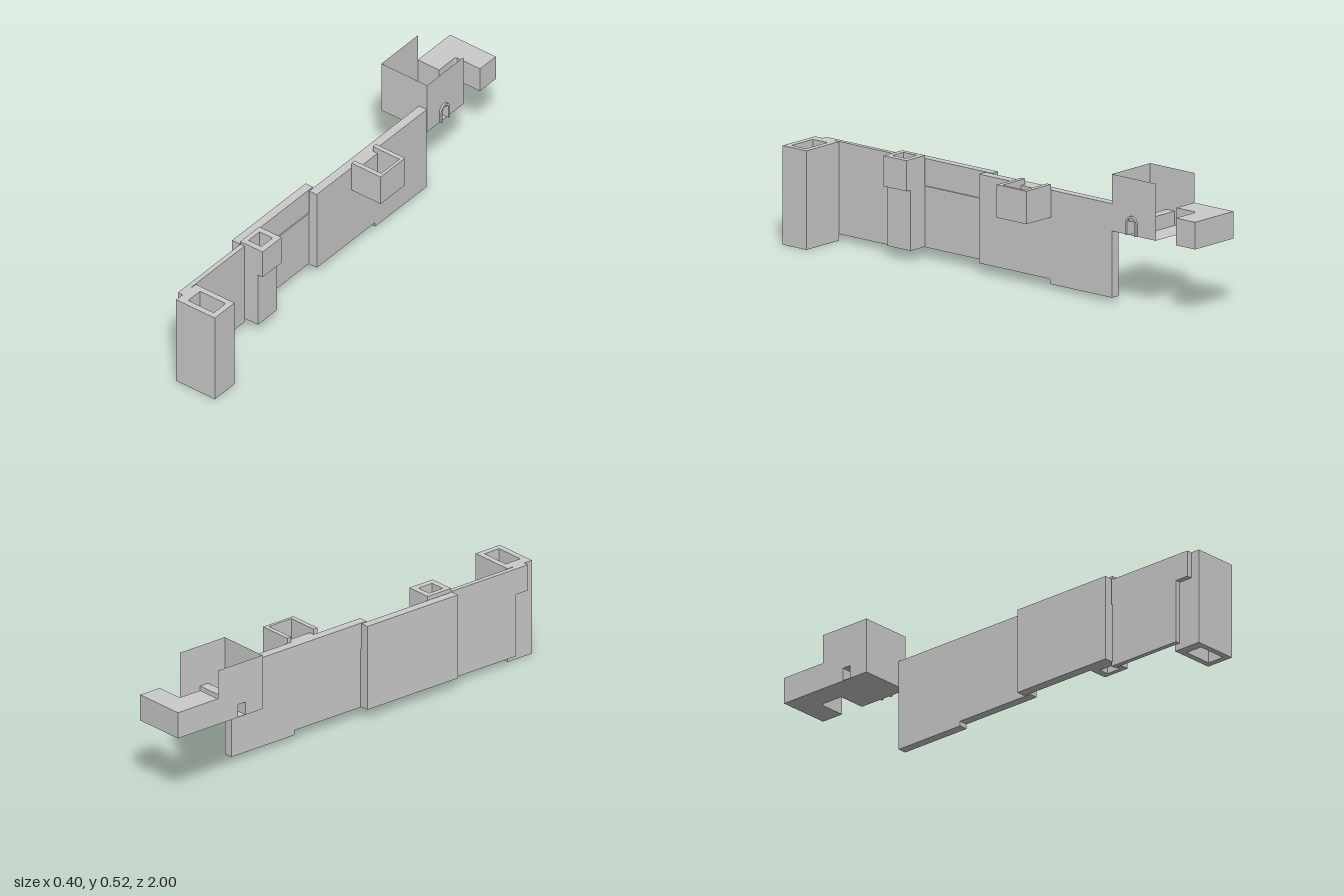
import * as THREE from 'three';

const grey = new THREE.MeshStandardMaterial({ color: 0xcccccc, flatShading: true });
const thin = new THREE.MeshStandardMaterial({ color: 0xcccccc, flatShading: true, side: THREE.DoubleSide });

export function createModel() {
  const model = new THREE.Group();

  const add = (name, geometry, material = grey) => {
    const mesh = new THREE.Mesh(geometry, material);
    mesh.name = name;
    model.add(mesh);
    return mesh;
  };

  // Box given by its limits along each axis
  const box = (name, [x0, x1], [y0, y1], [z0, z1]) => {
    const g = new THREE.BoxGeometry(x1 - x0, y1 - y0, z1 - z0);
    g.translate((x0 + x1) / 2, (y0 + y1) / 2, (z0 + z1) / 2);
    return add(name, g);
  };

  const rect = (Type, a0, a1, b0, b1) => {
    const s = new Type();
    s.moveTo(a0, b0);
    s.lineTo(a1, b0);
    s.lineTo(a1, b1);
    s.lineTo(a0, b1);
    s.closePath();
    return s;
  };

  // Plan outline extruded upward; the plan's second axis is -z
  const upright = (name, shape, y0, y1) => {
    const g = new THREE.ExtrudeGeometry(shape, { depth: y1 - y0, bevelEnabled: false });
    g.rotateX(-Math.PI / 2);
    g.translate(0, y0, 0);
    return add(name, g);
  };

  // Rectangular shaft with a rectangular bore
  const shaft = (name, [x0, x1], [y0, y1], [z0, z1], [hx0, hx1], [hz0, hz1]) => {
    const s = rect(THREE.Shape, x0, x1, -z1, -z0);
    s.holes.push(rect(THREE.Path, hx0, hx1, -hz1, -hz0));
    return upright(name, s, y0, y1);
  };

  // Corner tower at the front end
  shaft('frontTower', [0.008, 0.2], [0, 0.4], [0.875, 1], [0.048, 0.175], [0.9, 0.975]);

  // Long wall in stepped sections
  box('frontWall', [-0.015, 0.005], [0.026, 0.4], [0.56, 0.9]);
  box('frontWallCap', [-0.015, 0.008], [0.29, 0.4], [0.9, 0.96]);
  box('middleWallLower', [-0.056, -0.015], [0.043, 0.29], [0.1, 0.565]);
  box('middleWallUpper', [-0.056, -0.02], [0.29, 0.4], [0.1, 0.565]);
  box('rearWallFront', [-0.015, 0.023], [0.04, 0.4], [-0.24, 0.13]);
  box('rearWallBack', [-0.015, 0.023], [0.02, 0.4], [-0.565, -0.24]);

  // Small turret with a wider head
  shaft('turretBase', [-0.015, 0.073], [0.045, 0.29], [0.445, 0.565], [0.012, 0.055], [0.475, 0.54]);
  shaft('turretHead', [-0.015, 0.096], [0.29, 0.414], [0.445, 0.565], [0.006, 0.07], [0.47, 0.54]);

  // Hanging box: floor, walls and a rim left open toward the long wall
  box('hangingBoxFloor', [0.023, 0.168], [0.29, 0.31], [-0.245, -0.09]);
  shaft('hangingBoxWalls', [0.023, 0.168], [0.31, 0.4], [-0.245, -0.09], [0.046, 0.155], [-0.225, -0.11]);
  const rim = new THREE.Shape([
    [0.023, 0.09], [0.168, 0.09], [0.168, 0.245], [0.023, 0.245],
    [0.023, 0.225], [0.155, 0.225], [0.155, 0.11], [0.023, 0.11],
  ].map(([x, y]) => new THREE.Vector2(x, y)));
  upright('hangingBoxRim', rim, 0.4, 0.423);

  // Gate room: thin side walls with a door in each, open to the back
  const sideWall = (name, x) => {
    const s = rect(THREE.Shape, 0.565, 0.795, 0.29, 0.52);
    s.holes.push(rect(THREE.Path, 0.652, 0.69, 0.292, 0.345));
    const g = new THREE.ShapeGeometry(s);
    g.rotateY(Math.PI / 2);
    g.translate(x, 0, 0);
    add(name, g, thin);
  };
  sideWall('roomInnerWall', 0.025);
  sideWall('roomOuterWall', -0.202);

  const front = new THREE.PlaneGeometry(0.227, 0.23);
  front.translate(-0.0885, 0.405, -0.565);
  add('roomFrontWall', front, thin);

  const floor = new THREE.PlaneGeometry(0.227, 0.23);
  floor.rotateX(-Math.PI / 2);
  floor.translate(-0.0885, 0.29, -0.68);
  add('roomFloor', floor, thin);

  // Covered passage between the two doors
  box('passageRoof', [-0.202, 0.025], [0.345, 0.348], [-0.692, -0.65]);
  for (const z of [-0.692, -0.652]) {
    box('passageSide', [-0.202, 0.025], [0.29, 0.345], [z, z + 0.002]);
  }

  // Arched surround on the inner door
  const arch = new THREE.Shape();
  arch.moveTo(0.643, 0.29);
  arch.lineTo(0.652, 0.29);
  arch.lineTo(0.652, 0.34);
  arch.absarc(0.671, 0.34, 0.019, Math.PI, 0, true);
  arch.lineTo(0.69, 0.29);
  arch.lineTo(0.699, 0.29);
  arch.lineTo(0.699, 0.34);
  arch.absarc(0.671, 0.34, 0.028, 0, Math.PI, false);
  arch.closePath();
  const archGeometry = new THREE.ExtrudeGeometry(arch, { depth: 0.009, bevelEnabled: false, curveSegments: 5 });
  archGeometry.rotateY(Math.PI / 2);
  archGeometry.translate(0.025, 0, 0);
  add('doorArch', archGeometry);

  // L-shaped block behind the room
  const rear = new THREE.Shape([
    [-0.202, 0.795], [-0.096, 0.795], [-0.096, 0.89], [-0.09, 0.9],
    [0.025, 0.9], [0.025, 1], [-0.202, 1],
  ].map(([x, y]) => new THREE.Vector2(x, y)));
  upright('rearBlock', rear, 0.29, 0.4);

  return model;
}
